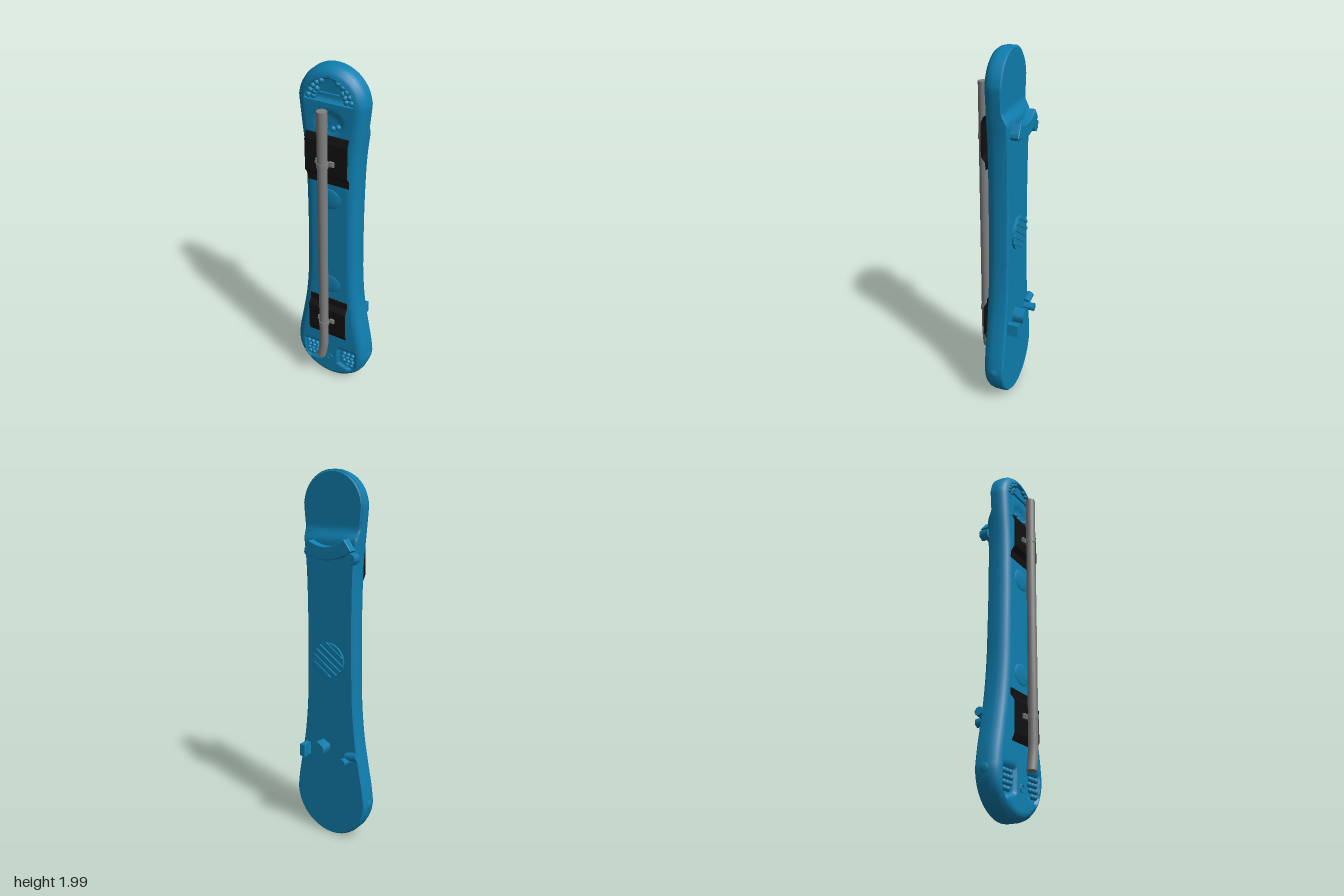
import * as THREE from 'three';
import { toCreasedNormals } from 'three/addons/utils/BufferGeometryUtils.js';

const blue = new THREE.MeshStandardMaterial({ color: 0x0f7fb0 });
const black = new THREE.MeshStandardMaterial({ color: 0x111111 });
const grey = new THREE.MeshStandardMaterial({ color: 0x808080 });

function add(parent, name, geo, mat, x = 0, y = 0, z = 0) {
  const m = new THREE.Mesh(geo, mat);
  m.name = name;
  m.position.set(x, y, z);
  parent.add(m);
  return m;
}

const smooth = THREE.MathUtils.smoothstep;

// Shallow pockets pressed into the front face
function dent(x, y) {
  const ax = Math.abs(x);
  const low = smooth(ax, 0.045, 0.065) * (1 - smooth(ax, 0.155, 0.175)) *
    smooth(y, 0.09 + (0.16 - ax) * 0.3, 0.11 + (0.16 - ax) * 0.3) * (1 - smooth(y, 0.245, 0.265));
  const r = Math.hypot(x, y - 1.82);
  const top = (1 - smooth(r, 0.12, 0.135)) * smooth(y, 1.83, 1.845);
  const mid = (1 - smooth(Math.hypot(x, (y - 1.73) * 1.3), 0.05, 0.09)) * 0.6;
  return 0.016 * (low + top + mid);
}

// Long body: cross-sections swept up a waisted outline with round ends
function bodyGeometry() {
  const lowArc = [], topArc = [];
  for (let i = 0; i <= 16; i++) {
    const a = -Math.PI / 2 + (i / 16) * Math.PI / 2;
    lowArc.push(new THREE.Vector2(0.23 * Math.cos(a), 0.24 + 0.232 * Math.sin(a)));
    topArc.push(new THREE.Vector2(0.18 * Math.cos(a + Math.PI / 2), 1.82 + 0.18 * Math.sin(a + Math.PI / 2)));
  }
  const waist = [[0.219, 0.33], [0.197, 0.45], [0.17, 0.61], [0.153, 0.8], [0.148, 1], [0.146, 1.2],
    [0.148, 1.4], [0.154, 1.55], [0.168, 1.69]].map(p => new THREE.Vector2(...p));
  const edge = new THREE.SplineCurve([...lowArc, ...waist, ...topArc]).getSpacedPoints(150);
  const n = edge.length;
  // Columns: [side fraction, inset, z]
  const sides = [[0.002, -0.072], [0, -0.06], [0, -0.01], [0.006, 0.015], [0.02, 0.034], [0.033, 0.041]];
  const cols = [];
  for (let i = 0; i <= 4; i++) cols.push([-1 + i / 2, 0.01, -0.08]);
  sides.forEach(([d, z]) => cols.push([1, d, z]));
  for (let i = 0; i <= 40; i++) cols.push([1 - i / 20, 0.047, 0.045]);
  [...sides].reverse().forEach(([d, z]) => cols.push([-1, d, z]));
  const pos = [], idx = [], c = cols.length;
  edge.forEach((p, i) => {
    const t = edge[Math.min(i + 1, n - 1)].clone().sub(edge[Math.max(i - 1, 0)]).normalize();
    if (i === 0) t.set(1, 0);
    if (i === n - 1) t.set(-1, 0);
    for (const [s, d, z0] of cols) {
      const y = p.y + t.x * d;
      const x = Math.max(0, p.x - t.y * d) * s;
      // the head is thinner at the back
      const back = -0.08 + 0.027 * smooth(y, 1.65, 1.72);
      let z = Math.max(z0, back + (z0 > -0.08 ? 0.006 : 0));
      if (z0 === 0.045) z -= dent(x, y);
      pos.push(x, y, z);
    }
  });
  for (let i = 0; i < n - 1; i++) {
    for (let j = 0; j < c; j++) {
      const a = i * c + j, b = i * c + (j + 1) % c;
      idx.push(a, a + c, b, b, a + c, b + c);
    }
  }
  const g = new THREE.BufferGeometry();
  g.setAttribute('position', new THREE.Float32BufferAttribute(pos, 3));
  g.setIndex(idx);
  return toCreasedNormals(g, 0.6);
}

function extrude(shape, depth, bevel = 0) {
  return new THREE.ExtrudeGeometry(shape, {
    depth, curveSegments: 16, bevelEnabled: bevel > 0, bevelSize: bevel, bevelThickness: bevel, bevelSegments: 2
  });
}

// Hexagonal stud sticking out of the back
function stud(parent, x, y, r, depth) {
  add(parent, 'backStud', new THREE.CylinderGeometry(r, r, depth, 6).rotateX(Math.PI / 2), blue, x, y, -0.07 - depth / 2);
}

// Bent plate with its pipe clamp; dir = 1 has the foot pointing down
function bracket(parent, y, dir) {
  const g = new THREE.Group();
  g.name = 'bracket';
  g.position.y = y;
  parent.add(g);
  const path = [[0.135, 0.064], [0.1, 0.079], [-0.07, 0.079], [-0.1, 0.057], [-0.135, 0.055]];
  const s = new THREE.Shape();
  path.forEach(([v, z], i) => (i ? s.lineTo(z, v * dir) : s.moveTo(z, v * dir)));
  [...path].reverse().forEach(([v, z]) => s.lineTo(z - 0.007, v * dir));
  add(g, 'plate', extrude(s, 0.23).rotateY(-Math.PI / 2), black, 0.115, 0, 0);
  add(g, 'plateFoot', new THREE.BoxGeometry(0.16, 0.035, 0.02), black, 0, -0.115 * dir, 0.048);
  add(g, 'clampRing', new THREE.CylinderGeometry(0.03, 0.03, 0.028, 20).rotateY(0.2), grey, 0, 0, 0.11);
  for (const sx of [-1, 1]) {
    add(g, 'clampEar', new THREE.BoxGeometry(0.026, 0.026, 0.012), grey, 0.038 * sx, 0, 0.086);
    add(g, 'clampBolt', new THREE.CylinderGeometry(0.007, 0.007, 0.016, 8).rotateX(Math.PI / 2), grey, 0.043 * sx, 0, 0.09);
  }
}

export function createModel() {
  const root = new THREE.Group();
  root.name = 'mountedBoard';
  add(root, 'body', bodyGeometry(), blue);

  // Clusters of beads in the front pockets
  const bead = new THREE.SphereGeometry(0.014, 10, 8);
  for (const s of [-1, 1]) {
    for (let r = 0; r < 4; r++) {
      for (let k = 0; k < 3; k++) {
        if (r === 0 && k === 0) continue;
        add(root, 'lowerBead', bead, blue, s * (0.085 + k * 0.028 + (r % 2) * 0.008), 0.145 + r * 0.028, 0.033);
      }
    }
    for (let k = 0; k < 5; k++) {
      const a = 0.22 + k * 0.24;
      add(root, 'upperBead', bead, blue, s * 0.115 * Math.cos(a), 1.825 + 0.115 * Math.sin(a), 0.034);
      if (k < 3) add(root, 'upperBead', bead, blue, s * 0.088 * Math.cos(a), 1.83 + 0.088 * Math.sin(a), 0.033);
    }
    for (let k = 0; k < 2; k++) add(root, 'neckBead', bead, blue, s * (0.02 + k * 0.028), 1.705 + k * 0.012, 0.037);
    add(root, 'sideBoss', new THREE.SphereGeometry(0.03, 14, 10).scale(0.4, 1, 1), blue, s * 0.222, 0.23, -0.025);
  }
  add(root, 'upperSlot', new THREE.BoxGeometry(0.13, 0.012, 0.012), blue, 0, 1.87, 0.034);
  add(root, 'lowerRing', new THREE.TorusGeometry(0.018, 0.005, 6, 16, 4.6), blue, 0, 0.165, 0.045);

  // Low pads on the front beyond each plate
  for (const y of [0.75, 1.31]) {
    add(root, 'frontPad', new THREE.SphereGeometry(1, 20, 12).scale(0.07, 0.06, 0.009), blue, 0, y, 0.044);
  }

  bracket(root, 1.54, 1);
  bracket(root, 0.51, -1);

  // Pipe with a bent lower end
  const bend = new THREE.CatmullRomCurve3([[0, 1.82], [0, 1.2], [0, 0.6], [0, 0.4], [-0.002, 0.34], [-0.01, 0.28], [-0.018, 0.238]]
    .map(([x, y]) => new THREE.Vector3(x, y, 0.11)));
  add(root, 'pipe', new THREE.TubeGeometry(bend, 60, 0.026, 20), grey);
  const cap = new THREE.CircleGeometry(0.026, 20);
  add(root, 'pipeTop', cap, grey, 0, 1.82, 0.11).rotation.x = -Math.PI / 2;
  add(root, 'pipeEnd', cap, grey, -0.018, 0.238, 0.11).rotation.set(Math.PI / 2, -0.2, 0);

  // Curved ridge under the head at the back
  const arc = new THREE.Shape();
  arc.absarc(0, 1.82, 0.255, -2.22, -1.07, false);
  arc.absarc(0, 1.82, 0.195, -1.07, -2.22, true);
  add(root, 'backRidge', extrude(arc, 0.055, 0.004), blue, 0, 0, -0.121);
  stud(root, -0.15, 1.575, 0.032, 0.05);
  stud(root, 0.1, 1.6, 0.03, 0.05);

  // Lower studs and cross pegs
  stud(root, 0.04, 0.53, 0.047, 0.073);
  stud(root, -0.12, 0.49, 0.025, 0.073);
  const peg = new THREE.CylinderGeometry(0.024, 0.024, 0.07, 8).rotateZ(Math.PI / 2);
  add(root, 'leftPeg', peg, blue, -0.155, 0.52, -0.09).rotation.z = -0.2;
  add(root, 'rightPeg', new THREE.BoxGeometry(0.03, 0.07, 0.07), blue, 0.145, 0.5, -0.106);

  // Round knob at the back with slanted ribs
  const knob = new THREE.Group();
  knob.name = 'backKnob';
  knob.position.set(0, 1.03, -0.085);
  knob.rotation.z = 0.6;
  root.add(knob);
  add(knob, 'knobDisc', new THREE.CylinderGeometry(0.095, 0.095, 0.014, 32).rotateX(Math.PI / 2), blue);
  for (let i = -2; i <= 2; i++) {
    const v = i * 0.034;
    add(knob, 'knobRib', new THREE.BoxGeometry(2 * Math.sqrt(0.0088 - v * v), 0.016, 0.012), blue, 0, v, -0.009);
  }
  return root;
}
